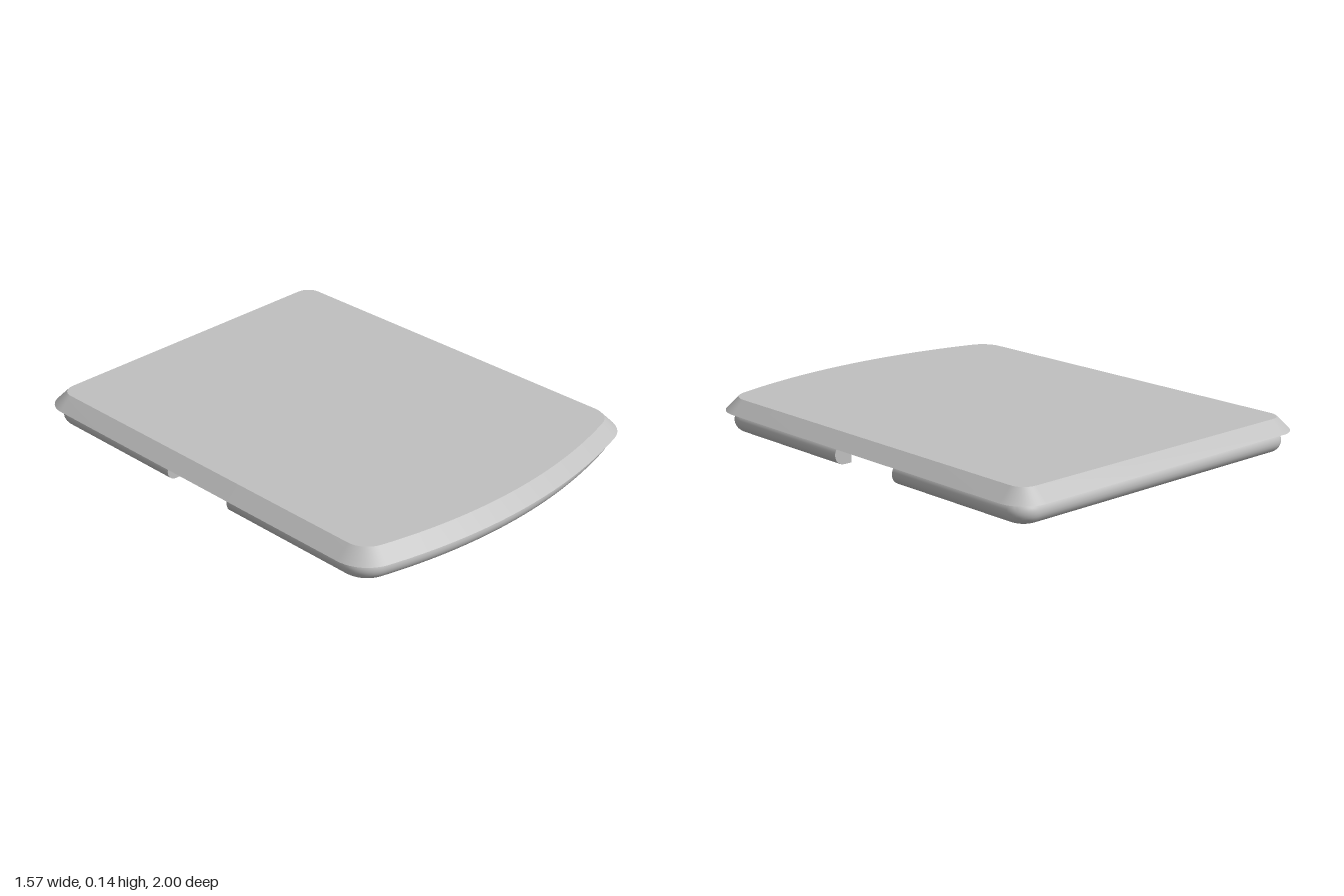
import * as THREE from 'three';
import { toCreasedNormals } from 'three/addons/utils/BufferGeometryUtils.js';

const HALF = 0.785, BACK_R = 0.12, FRONT_R = 0.16, BOW_R = 2.39;
const Y_RIM = 0.088, Y_TOP = 0.144;

// Points along an arc, each with its outward normal (angle 0 = +x, PI/2 = +z)
function arc(cx, cz, r, from, to, steps) {
  return Array.from({ length: steps + 1 }, (_, i) => {
    const a = from + (to - from) * i / steps, nx = Math.cos(a), nz = Math.sin(a);
    return { x: cx + r * nx, z: cz + r * nz, nx, nz };
  });
}

const side = (s, z) => ({ x: s * HALF, z, nx: s, nz: 0 });

// Outline halves: square back with rounded corners, and bowed front
function backHalf() {
  const c = HALF - BACK_R, z = -1 + BACK_R;
  return [side(-1, -0.24),
    ...arc(-c, z, BACK_R, Math.PI, Math.PI * 1.5, 12),
    ...arc(c, z, BACK_R, -Math.PI / 2, 0, 12),
    side(1, -0.24)];
}

function frontHalf() {
  const c = HALF - FRONT_R, bowZ = 1 - BOW_R;
  const dz = Math.sqrt((BOW_R - FRONT_R) ** 2 - c * c);
  const a = Math.atan2(dz, c), z = bowZ + dz;
  return [side(1, 0.11),
    ...arc(c, z, FRONT_R, 0, a, 12),
    ...arc(0, bowZ, BOW_R, a, Math.PI - a, 32).slice(1, -1),
    ...arc(-c, z, FRONT_R, Math.PI - a, Math.PI, 12),
    side(-1, 0.11)];
}

// Sweep a profile of [inset, y] along an outline; a null inset means the centre axis
function sweep(path, profile, closed) {
  const pos = [];
  const tri = (a, b, c) => {
    const area = b.clone().sub(a).cross(c.clone().sub(a)).length();
    if (area > 1e-9) for (const v of [a, b, c]) pos.push(v.x, v.y, v.z);
  };
  const rows = path.map(p => profile.map(([d, y]) => d === null
    ? new THREE.Vector3(0, y, 0)
    : new THREE.Vector3(p.x - p.nx * d, y, p.z - p.nz * d)));
  const n = rows.length;
  for (let i = 0; i < (closed ? n : n - 1); i++) {
    const A = rows[i], B = rows[(i + 1) % n];
    for (let j = 0; j < profile.length - 1; j++) {
      tri(A[j], B[j + 1], B[j]);
      tri(A[j], A[j + 1], B[j + 1]);
    }
  }
  // Flat end caps
  if (!closed) {
    const S = rows[0], E = rows[n - 1];
    for (let j = 1; j < profile.length - 1; j++) {
      tri(S[0], S[j + 1], S[j]);
      tri(E[0], E[j], E[j + 1]);
    }
  }
  const geo = new THREE.BufferGeometry();
  geo.setAttribute('position', new THREE.Float32BufferAttribute(pos, 3));
  return toCreasedNormals(geo, 0.5);
}

export function createModel() {
  const group = new THREE.Group();
  const grey = new THREE.MeshStandardMaterial({ color: 0xc0c0c0 });
  grey.name = 'light grey';
  const add = (name, geo) => {
    const mesh = new THREE.Mesh(geo, grey);
    mesh.name = name;
    group.add(mesh);
  };

  // Bevelled lid plate
  const back = backHalf(), front = frontHalf();
  add('lidPlate', sweep([...back, ...front],
    [[null, Y_RIM], [0, Y_RIM], [0.056, Y_TOP], [null, Y_TOP]], true));

  // Rim bars beneath: flat inside, half-round outside, with a gap on each side
  const r = Y_RIM / 2, rim = [[0.118, Y_RIM], [0.118, 0]];
  for (let i = 0; i <= 12; i++) {
    const a = Math.PI * i / 12;
    rim.push([0.035 + r - r * Math.sin(a), r - r * Math.cos(a)]);
  }
  add('backRim', sweep(back, rim, false));
  add('frontRim', sweep(front, rim, false));
  return group;
}
